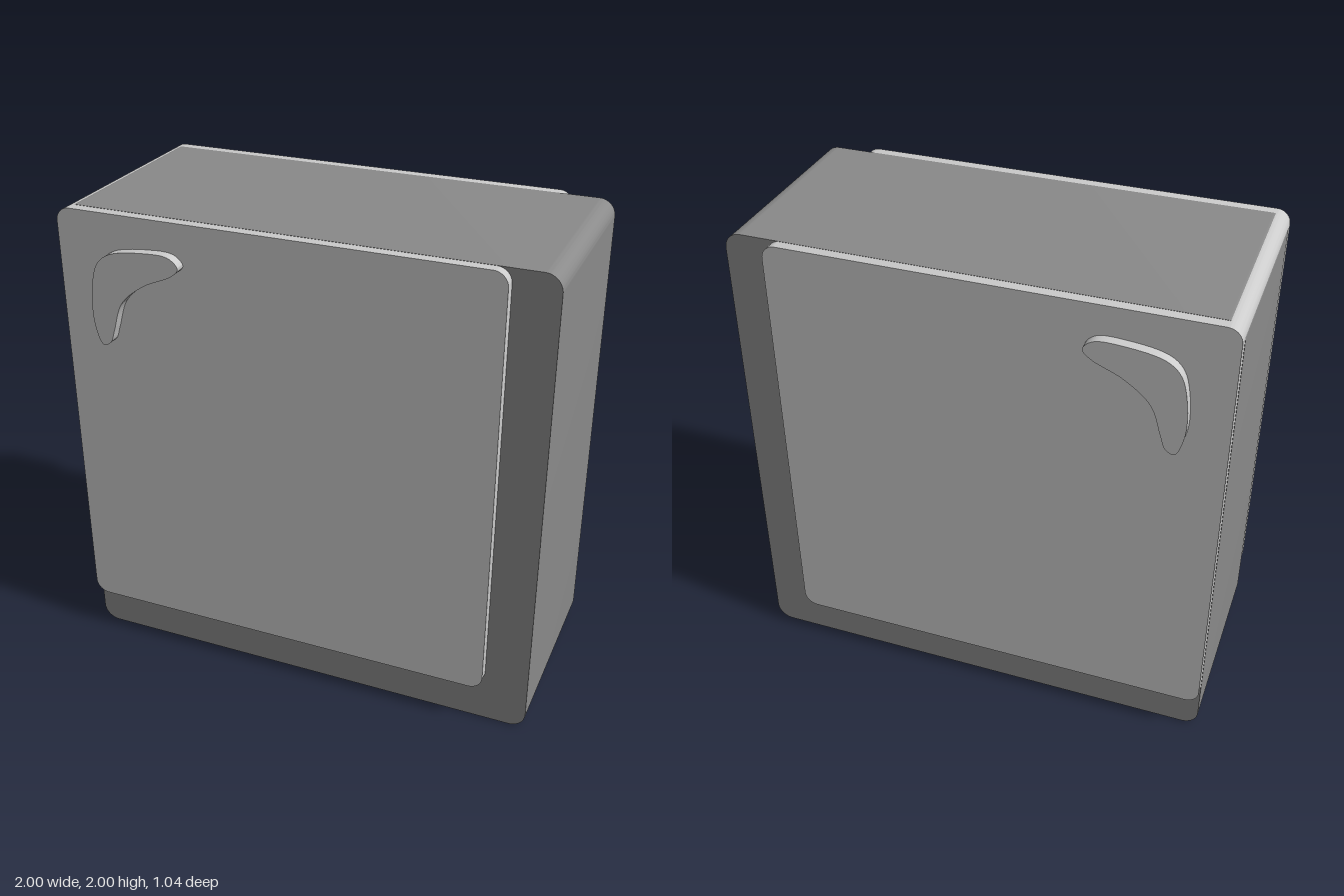
import * as THREE from 'three';
import { toCreasedNormals } from 'three/addons/utils/BufferGeometryUtils.js';

const light = new THREE.MeshStandardMaterial({ color: 0xcccccc });
const dark = new THREE.MeshStandardMaterial({ color: 0x8a8a8a });

// Rectangle with rounded corners
function roundedRect(x0, y0, x1, y1, r) {
  const s = new THREE.Shape();
  s.absarc(x1 - r, y0 + r, r, -Math.PI / 2, 0);
  s.absarc(x1 - r, y1 - r, r, 0, Math.PI / 2);
  s.absarc(x0 + r, y1 - r, r, Math.PI / 2, Math.PI);
  s.absarc(x0 + r, y0 + r, r, Math.PI, Math.PI * 1.5);
  s.closePath();
  return s;
}

// Straight extrusion between two depths, smooth round the outline
function slab(name, shape, z0, z1, material) {
  const geo = new THREE.ExtrudeGeometry(shape, { depth: z1 - z0, bevelEnabled: false, curveSegments: 12 });
  geo.translate(0, 0, z0);
  const mesh = new THREE.Mesh(toCreasedNormals(geo, 0.7), material);
  mesh.name = name;
  return mesh;
}

export function createModel() {
  const model = new THREE.Group();
  model.name = 'block';

  // Dark main block
  model.add(slab('body', roundedRect(-1, 0, 1, 2, 0.068), -0.43, 0.43, dark));

  // Lighter block set into the upper corner, standing out at front and back;
  // a hair inside the body's flat sides so the faces do not overlap
  model.add(slab('facePanels', roundedRect(-0.999, 0.18, 0.82, 1.999, 0.058), -0.475, 0.475, light));

  // Raised curved plates in the upper corner of both panels
  const outline = [
    [-0.81, 1.46], [-0.842, 1.545], [-0.84, 1.69], [-0.81, 1.8], [-0.755, 1.848],
    [-0.605, 1.876], [-0.487, 1.872], [-0.45, 1.834], [-0.48, 1.8],
    [-0.61, 1.738], [-0.71, 1.652], [-0.754, 1.53], [-0.775, 1.476],
  ].map(([x, y]) => new THREE.Vector3(x, y, 0));
  const curve = new THREE.CatmullRomCurve3(outline, true);
  const plate = new THREE.Shape(curve.getPoints(90).slice(0, -1).map((p) => new THREE.Vector2(p.x, p.y)));
  model.add(slab('frontCurvedPlate', plate, 0.46, 0.518, light));
  model.add(slab('backCurvedPlate', plate, -0.518, -0.46, light));

  return model;
}
